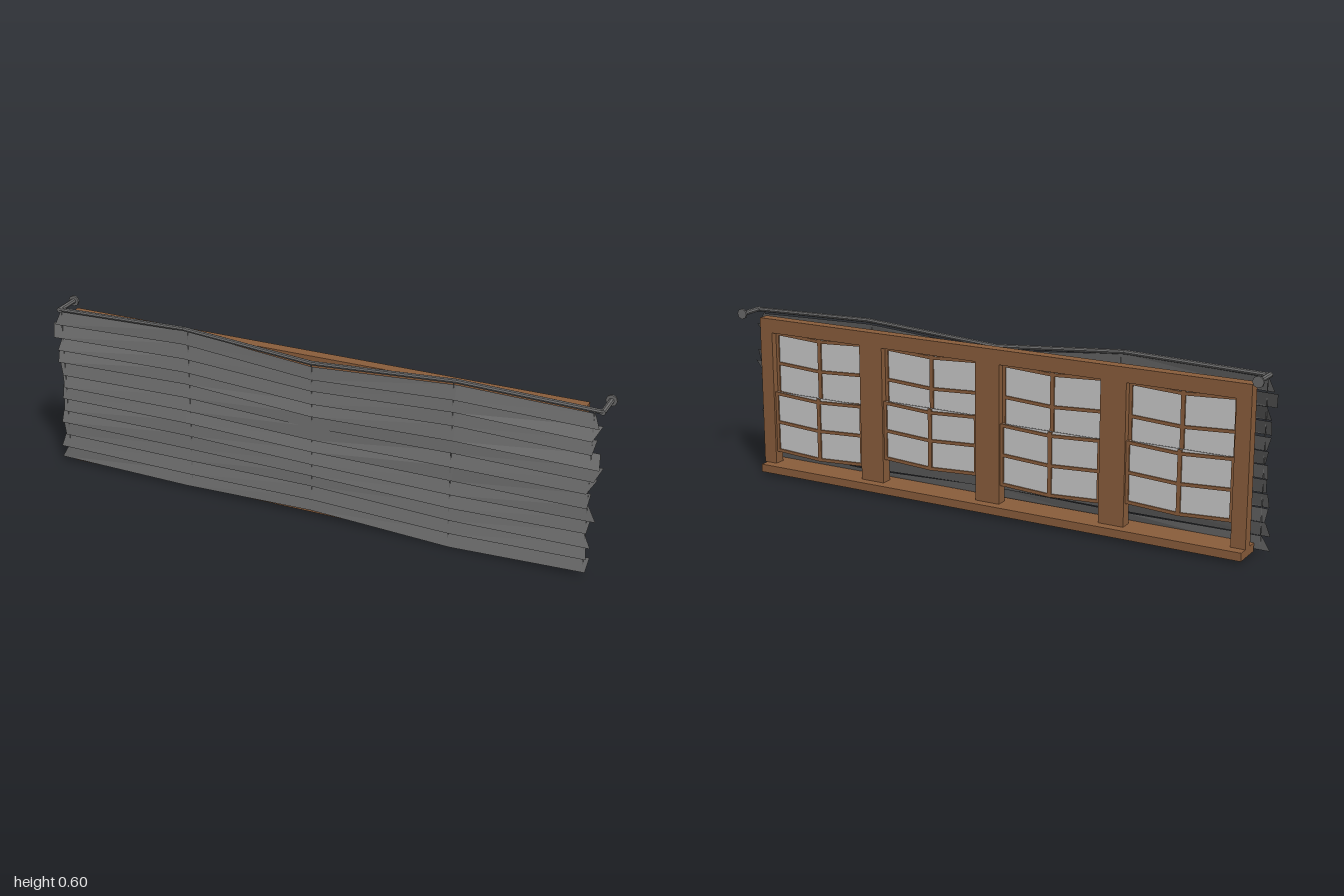
import * as THREE from 'three';

const wood = new THREE.MeshStandardMaterial({ color: 0x8b5e3c, flatShading: true });
const dark = new THREE.MeshStandardMaterial({ color: 0x6b6b6b, flatShading: true });
const slatMat = new THREE.MeshStandardMaterial({ color: 0x6b6b6b, flatShading: true, side: THREE.DoubleSide });
const glassMat = new THREE.MeshStandardMaterial({ color: 0xcccccc, side: THREE.DoubleSide });

// Small seeded generator, -1..1
let seed = 7;
const rnd = () => {
  seed = (seed * 16807) % 2147483647;
  return (seed / 2147483647) * 2 - 1;
};

// Box given by its min and max corners
function box(parent, name, x0, x1, y0, y1, z0, z1, mat = wood) {
  const m = new THREE.Mesh(new THREE.BoxGeometry(x1 - x0, y1 - y0, z1 - z0), mat);
  m.position.set((x0 + x1) / 2, (y0 + y1) / 2, (z0 + z1) / 2);
  m.name = name;
  parent.add(m);
  return m;
}

// Round bar between two points
function rod(parent, name, a, b, r) {
  const d = b.clone().sub(a);
  const m = new THREE.Mesh(new THREE.CylinderGeometry(r, r, d.length(), 8), dark);
  m.position.copy(a).add(b).multiplyScalar(0.5);
  m.quaternion.setFromUnitVectors(new THREE.Vector3(0, 1, 0), d.normalize());
  m.name = name;
  parent.add(m);
}

// Square glazing bar between two points in the window plane
function bar(parent, name, x0, y0, x1, y1, z, h, depth) {
  const m = new THREE.Mesh(new THREE.BoxGeometry(Math.hypot(x1 - x0, y1 - y0), h, depth), wood);
  m.position.set((x0 + x1) / 2, (y0 + y1) / 2, z);
  m.rotation.z = Math.atan2(y1 - y0, x1 - x0);
  m.name = name;
  parent.add(m);
}

// One sash: two rows by two columns of panes with sagging bars
function sash(x0, x1, y0, y1, z) {
  const g = new THREE.Group();
  g.name = 'sash';
  const c = (x0 + x1) / 2, t = 0.011, d = 0.012, sag = 0.01;
  box(g, 'glass', x0, x1, y0, y1, z - 0.001, z + 0.001, glassMat);
  box(g, 'stile', x0, x0 + t, y0, y1, z - d / 2, z + d / 2);
  box(g, 'stile', x1 - t, x1, y0, y1, z - d / 2, z + d / 2);
  box(g, 'verticalBar', c - 0.007, c + 0.007, y0 - sag, y1 - 0.002, z - d / 2, z + d / 2);
  for (const y of [y0 + t / 2, (y0 + y1) / 2, y1 - t / 2]) {
    bar(g, 'horizontalBar', x0, y, c, y - sag, z, t, d);
    bar(g, 'horizontalBar', c, y - sag, x1, y, z, t, d);
  }
  return g;
}

function buildWindow() {
  const g = new THREE.Group();
  g.name = 'window';
  const zf = 0.012, zb = -0.028, L = -0.93, R = 0.91;
  box(g, 'sill', L, 0.9, 0.014, 0.042, -0.062, 0.045);
  box(g, 'topRail', L, R, 0.522, 0.572, zb, zf);
  box(g, 'sidePost', L, L + 0.05, 0.042, 0.522, zb, zf);
  box(g, 'sidePost', R - 0.05, R, 0.042, 0.522, zb, zf);
  const mull = 0.09, open = (R - L - 0.1 - 3 * mull) / 4;
  const lift = [0.065, 0.05, 0.07, 0.03];
  for (let i = 0; i < 4; i++) {
    const x0 = L + 0.05 + i * (open + mull), x1 = x0 + open;
    if (i < 3) box(g, 'mullion', x1, x1 + mull, 0.042, 0.522, zb, zf);
    // Upper sash sits in front, lower sash is raised by its own amount
    g.add(sash(x0, x1, 0.295, 0.522, 0.001));
    g.add(sash(x0, x1, 0.055 + lift[i], 0.285 + lift[i] * 0.7, -0.013));
  }
  return g;
}

// Stations across the blind, with the wavy top and bottom lines
const xs = [-0.965, -0.47, 0, 0.5, 0.955];
const topY = [0.577, 0.592, 0.552, 0.584, 0.572];
const botY = [0.02, 0.016, 0.026, 0.004, 0.02];
const N = 12;

// One slat: a bent strip with uneven ends
function slat(k) {
  const pos = [], idx = [];
  xs.forEach((x, i) => {
    const end = i === 0 || i === 4;
    const pitch = (topY[i] - botY[i]) / N;
    const jy = k > 0 ? rnd() * 0.003 : 0;
    const y0 = botY[i] + k * pitch + jy, y1 = y0 + pitch + (k < N - 1 ? 0.003 : 0);
    const tilt = 0.006 + rnd() * 0.003 + (end && k > 4 ? 0.003 : 0);
    const skew = end ? rnd() * 0.016 : 0;
    let tip = end ? rnd() * 0.008 : 0;
    if (i === 0 && k === N - 2) tip = -0.02;
    if (i === 4 && (k === 8 || k === 7)) tip = 0.02;
    const z = 0.049 + rnd() * 0.002;
    pos.push(x + tip - skew, y0, z + tilt, x + tip + skew, y1, z - tilt);
    if (i < 4) {
      const a = i * 2;
      idx.push(a, a + 2, a + 3, a, a + 3, a + 1);
    }
  });
  const geo = new THREE.BufferGeometry();
  geo.setAttribute('position', new THREE.Float32BufferAttribute(pos, 3));
  geo.setIndex(idx);
  geo.computeVertexNormals();
  const m = new THREE.Mesh(geo, slatMat);
  m.name = 'slat';
  return m;
}

function buildBlind() {
  const g = new THREE.Group();
  g.name = 'blind';
  for (let k = 0; k < N; k++) g.add(slat(k));
  // Hanging cords
  [-0.95, -0.455, 0, 0.49, 0.945].forEach((x, i) =>
    box(g, 'cord', x - 0.0015, x + 0.0015, botY[i] + 0.02, topY[i] + 0.008, 0.045, 0.048, dark));
  return g;
}

function buildRail() {
  const g = new THREE.Group();
  g.name = 'curtainRail';
  const px = [-0.955, -0.47, 0, 0.5, 0.972];
  const py = [0.588, 0.601, 0.563, 0.594, 0.582];
  const pts = px.map((x, i) => new THREE.Vector3(x, py[i], 0.045));
  for (let i = 0; i < 4; i++) rod(g, 'rail', pts[i], pts[i + 1], 0.008);
  // Brackets running back to round wall plates
  for (const p of [pts[0], pts[4]]) {
    const back = new THREE.Vector3(p.x, p.y, -0.046);
    rod(g, 'bracket', p.clone().setZ(0.052), back, 0.009);
    rod(g, 'wallPlate', back.clone().setZ(-0.042), back.clone().setZ(-0.05), 0.019);
  }
  return g;
}

export function createModel() {
  seed = 7;
  const model = new THREE.Group();
  model.name = 'windowWithBlind';
  model.add(buildWindow(), buildBlind(), buildRail());
  return model;
}
